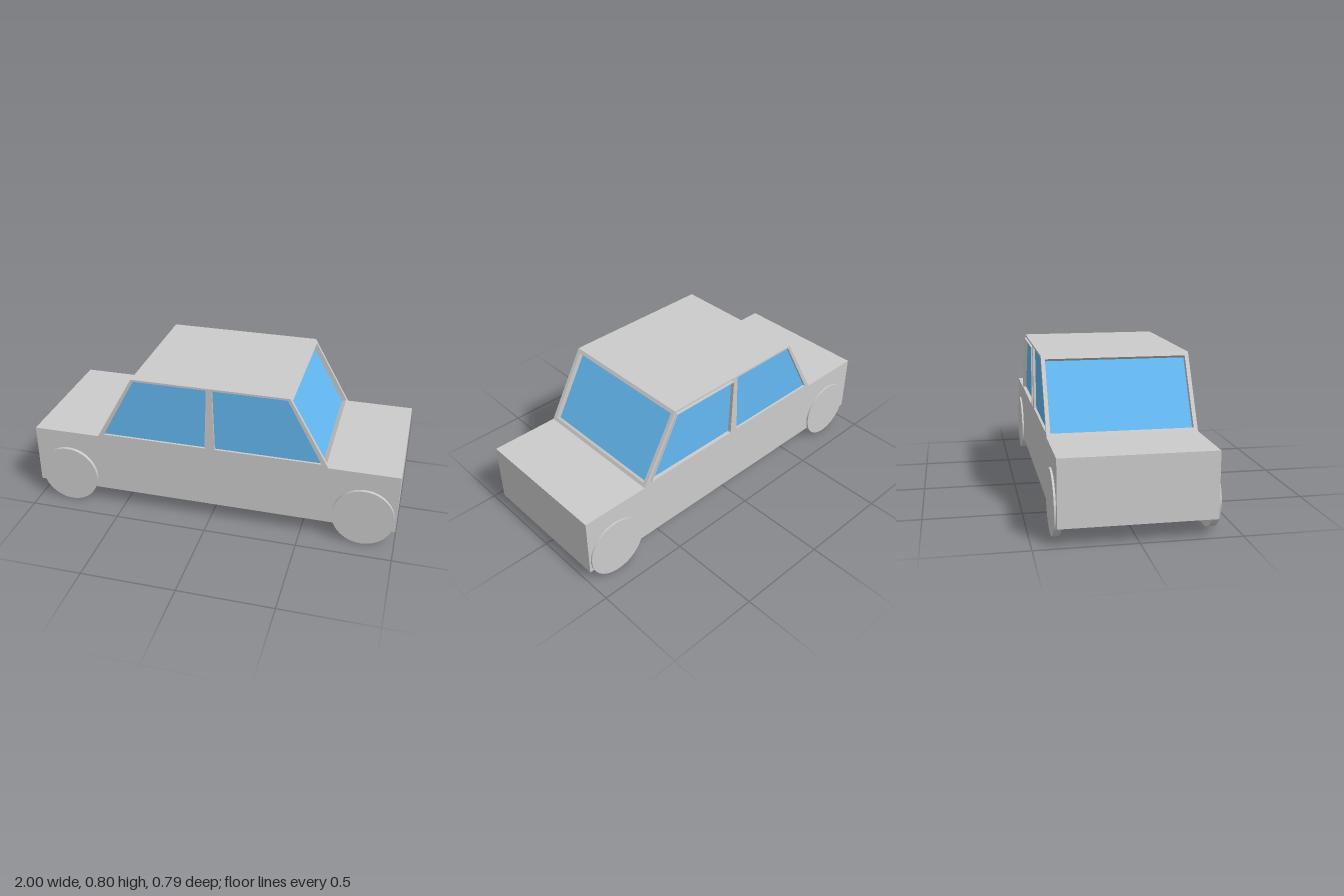
import * as THREE from 'three';

const grey = new THREE.MeshStandardMaterial({ color: 0xcccccc });
const blue = new THREE.MeshStandardMaterial({ color: 0x63b9f2 });

// Main dimensions
const HALF_W = 0.381, FLOOR = 0.093, BELT = 0.425, ROOF = 0.795;
const BASE_X = 0.63, ROOF_X = 0.42, SIDE_T = 0.018, SCREEN_T = 0.032;

function add(parent, name, geometry, material = grey) {
  const mesh = new THREE.Mesh(geometry, material);
  mesh.name = name;
  parent.add(mesh);
  return mesh;
}

const vectors = (points) => points.map(([x, y]) => new THREE.Vector2(x, y));

// Plate with openings; its outer face lies on z = 0 and it extends inward
function plate(outline, holes, depth) {
  const shape = new THREE.Shape(vectors(outline));
  for (const hole of holes) shape.holes.push(new THREE.Path(vectors(hole)));
  return new THREE.ExtrudeGeometry(shape, { depth, bevelEnabled: false }).translate(0, 0, -depth);
}

// Framed panel with a glass pane set into each opening
function glazedPanel(name, outline, holes, depth, recess) {
  const group = new THREE.Group();
  group.name = name;
  add(group, 'windowFrame', plate(outline, holes, depth));
  for (const hole of holes) {
    add(group, 'glass', plate(hole, [], 0.003).translate(0, 0, -recess), blue);
  }
  return group;
}

export function createModel() {
  const car = new THREE.Group();
  car.name = 'car';
  const shell = new THREE.Group();
  shell.name = 'shell';
  shell.position.z = -0.004;
  car.add(shell);

  // Lower body and roof
  add(shell, 'lowerBody', new THREE.BoxGeometry(2, BELT - FLOOR, HALF_W * 2))
    .position.y = (BELT + FLOOR) / 2;
  add(shell, 'roof', new THREE.BoxGeometry(ROOF_X * 2, 0.008, HALF_W * 2))
    .position.y = ROOF - 0.004;

  // Cabin sides, two windows each
  const sideOutline = [[-BASE_X, BELT], [BASE_X, BELT], [ROOF_X, ROOF], [-ROOF_X, ROOF]];
  const window1 = [[0.027, 0.441], [0.595, 0.441], [0.408, 0.784], [0.015, 0.784]];
  const window2 = window1.map(([x, y]) => [-x, y]).reverse();
  for (const angle of [0, Math.PI]) {
    const side = glazedPanel(angle ? 'backSide' : 'frontSide', sideOutline, [window1, window2], SIDE_T, 0.013);
    side.rotation.y = angle;
    side.position.z = angle ? -HALF_W : HALF_W;
    shell.add(side);
  }

  // Slightly raised surround on one back window
  const outer = [[-0.59, 0.443], [-0.022, 0.443], [-0.013, 0.777], [-0.412, 0.777]];
  const inner = [[-0.583, 0.447], [-0.026, 0.447], [-0.017, 0.773], [-0.409, 0.773]];
  const surround = add(shell, 'windowSurround', plate(outer, [inner], 0.02));
  surround.rotation.y = Math.PI;
  surround.position.z = -HALF_W - 0.007;

  // Sloping windscreens at both ends of the cabin
  const rise = ROOF - BELT, run = BASE_X - ROOF_X, slope = Math.hypot(rise, run);
  const rect = (w, y0, y1) => [[-w, y0], [w, y0], [w, y1], [-w, y1]];
  for (const s of [1, -1]) {
    const end = new THREE.Group();
    end.name = s > 0 ? 'windscreen' : 'rearWindow';
    end.rotation.y = s * Math.PI / 2;
    const screen = glazedPanel('screenPanel', rect(HALF_W - SIDE_T + 0.001, 0, slope),
      [rect(HALF_W - 0.02, 0.02, slope - 0.02)], SCREEN_T, 0.028);
    screen.position.set(0, BELT, BASE_X);
    screen.rotation.x = -Math.atan2(run, rise);
    end.add(screen);
    shell.add(end);
  }

  // Wheels
  const wheel = new THREE.CylinderGeometry(0.163, 0.163, 0.036, 48).rotateX(Math.PI / 2);
  for (const x of [-0.812, 0.828]) {
    for (const s of [1, -1]) {
      add(car, 'wheel', wheel).position.set(x, 0.163, s * 0.377);
    }
  }
  return car;
}
